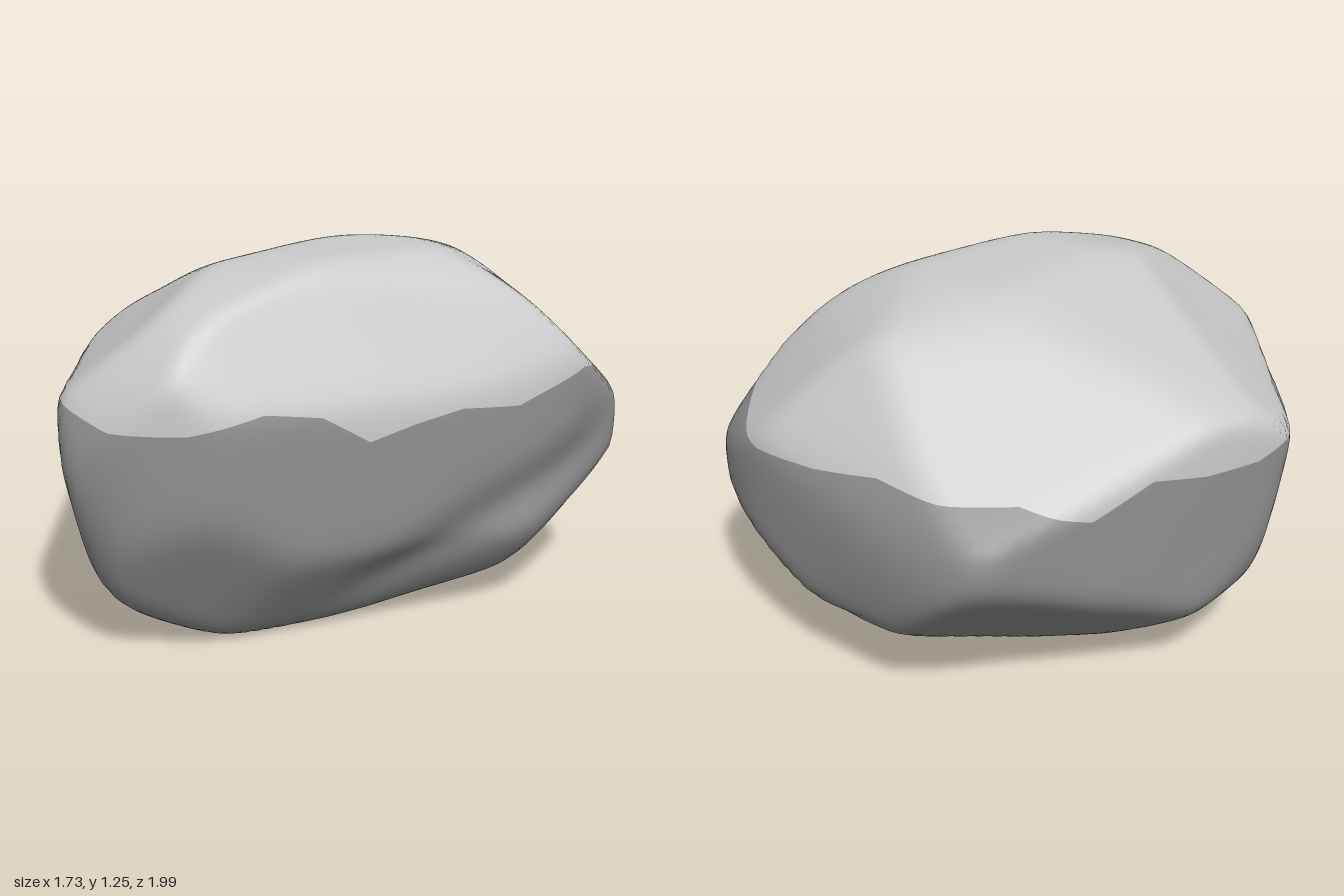
import * as THREE from 'three';

const CY = 0.6;        // height of the point the boulder is measured from
const SHARPNESS = 48;  // how crisply facets meet

// Outlines of the boulder along each axis, as pairs
const FRONT = [[-.88, .885], [-.88, .68], [-.83, .4], [-.77, .27], [-.69, .195], [-.58, .145], [-.13, .015], [.17, -.008], [.33, .003],
  [.52, .065], [.7, .125], [.76, .2], [.81, .3], [.87, .5], [.875, .9], [.81, 1.055], [.69, 1.14], [.55, 1.21], [.37, 1.255],
  [-.02, 1.24], [-.4, 1.105], [-.8, .935]];
const SIDE = [[1.015, .62], [.95, .81], [.88, .93], [.72, 1.09], [.58, 1.155], [.2, 1.25], [-.3, 1.25], [-.68, 1.165], [-.93, .8],
  [-1.015, .56], [-.985, .42], [-.935, .285], [-.8, .225], [-.2, .075], [.15, -.006], [.55, .002], [.72, .075], [.89, .185], [.98, .45]];
const PLAN = [[-.15, -1.005], [.15, -.975], [.5, -.935], [.67, -.88], [.81, -.8], [.87, -.75], [.88, -.6], [.865, -.45], [.7, -.02],
  [.3, .76], [.18, .865], [.05, .95], [-.17, 1.015], [-.4, .765], [-.77, .325], [-.89, .13], [-.885, .04], [-.83, -.08],
  [-.635, -.6], [-.58, -.77], [-.5, -.9], [-.35, -.985], [-.26, -1.005]];

// Oblique facets: normal and distance from the centre
const FACETS = [
  [.795, .458, .397, .64],   // upper right slope
  [.5, .85, .165, .725],     // right shoulder
  [.35, .87, -.35, .79],     // back right shoulder
  [.5, .7, -.5, .865],       // upper back right corner
  [-.5, .78, .38, .66],      // upper front left slope
  [-.44, .78, -.44, .67],    // upper back left slope
  [-.25, .93, -.25, .665],   // back left shoulder
  [.73, -.58, .36, .66],     // lower right
  [.64, -.41, .64, .72],     // lower front right
  [-.76, -.23, .6, .72],     // front left, leaning in
  [-.6, -.64, .48, .725],    // lower front left
  [-.52, -.67, -.52, .73],   // lower back left
  [.45, -.77, -.45, .805],   // lower back right
];

// Height of the jagged colour border, every 15 degrees from the front towards +x
const BORDER = [.78, .78, .83, .8, .7, .74, .77, .75, .84, .8, .77, .79,
  .83, .81, .8, .73, .81, .77, .76, .82, .85, .83, .8, .84];

// Turns each outline edge into a facet parallel to the axis it is seen along
function outlineFacets(points, place, centre) {
  return points.map((a, i) => {
    const b = points[(i + 1) % points.length];
    const u = b[1] - a[1], v = a[0] - b[0], len = Math.hypot(u, v);
    const d = (u * (a[0] - centre[0]) + v * (a[1] - centre[1])) / len;
    const s = Math.sign(d);
    return [...place(s * u / len, s * v / len), s * d];
  });
}

const planes = [
  ...outlineFacets(FRONT, (u, v) => [u, v, 0], [0, CY]),
  ...outlineFacets(SIDE, (u, v) => [0, v, u], [0, CY]),
  ...outlineFacets(PLAN, (u, v) => [u, 0, v], [0, 0]),
  ...FACETS,
];

// Softly blended intersection of all facets, with slight waviness and a groove
function surfacePoint(theta, phi) {
  const p = new THREE.Vector3(Math.cos(phi) * Math.sin(theta), Math.sin(phi), Math.cos(phi) * Math.cos(theta));
  let sum = 0;
  for (const [x, y, z, d] of planes) sum += Math.max(0, (x * p.x + y * p.y + z * p.z) / d) ** SHARPNESS;
  const wave = 1.017 + 0.004 * Math.sin(7 * p.x + 2 * p.y) * Math.sin(6 * p.y - 5 * p.z + 1);
  p.multiplyScalar(wave * sum ** (-1 / SHARPNESS));

  // Slanting groove above the ledge low on the right side
  const offset = (p.y + CY - (0.31 - 0.4 * p.z)) / 0.11;
  const { smoothstep } = THREE.MathUtils;
  const depth = 0.045 * Math.exp(-offset * offset) * smoothstep(0.894 * p.x + 0.447 * p.z, 0.3, 0.5)
    * smoothstep(p.z, -0.8, -0.4) * (1 - smoothstep(p.z, 0, 0.4));
  p.x -= 0.894 * depth;
  p.z -= 0.447 * depth;
  return p;
}

// Elevation angle at which the colour border lies
function borderAngle(theta) {
  const n = BORDER.length, t = theta / (2 * Math.PI) * n, i = Math.floor(t);
  const y = THREE.MathUtils.lerp(BORDER[i % n], BORDER[(i + 1) % n], t - i) - CY;
  let phi = 0.2;
  for (let k = 0; k < 6; k++) {
    const p = surfacePoint(theta, phi);
    phi = Math.atan2(y, Math.hypot(p.x, p.z));
  }
  return phi;
}

export function createModel() {
  const COLS = 168, LOW = 48, HIGH = 36, ROWS = LOW + HIGH;
  const positions = [], lower = [], upper = [];
  const addPoint = (theta, phi) => {
    const p = surfacePoint(theta, phi);
    positions.push(p.x, p.y + CY, p.z);
  };

  // Rings from the bottom pole, through the border, to the top pole
  const angles = Array.from({ length: COLS }, (_, i) => i / COLS * 2 * Math.PI);
  const borders = angles.map(borderAngle);
  for (let j = 1; j < ROWS; j++) {
    angles.forEach((theta, i) => addPoint(theta, j <= LOW
      ? THREE.MathUtils.lerp(-Math.PI / 2, borders[i], j / LOW)
      : THREE.MathUtils.lerp(borders[i], Math.PI / 2, (j - LOW) / HIGH)));
  }
  const bottom = positions.length / 3, top = bottom + 1;
  addPoint(0, -Math.PI / 2);
  addPoint(0, Math.PI / 2);

  for (let i = 0; i < COLS; i++) {
    const k = (i + 1) % COLS, last = (ROWS - 2) * COLS;
    lower.push(bottom, k, i);
    for (let j = 0; j < ROWS - 2; j++) {
      const a = j * COLS + i, b = j * COLS + k, c = b + COLS, d = a + COLS;
      (j + 1 < LOW ? lower : upper).push(a, b, c, a, c, d);
    }
    upper.push(last + i, last + k, top);
  }

  // Both parts share the same points and normals so the shading stays continuous
  const whole = new THREE.BufferGeometry();
  whole.setAttribute('position', new THREE.Float32BufferAttribute(positions, 3));
  whole.setIndex([...lower, ...upper]);
  whole.computeVertexNormals();

  const group = new THREE.Group();
  group.name = 'boulder';
  for (const [name, index, color] of [['upperRock', upper, 0xcccccc], ['lowerRock', lower, 0x8f8f8f]]) {
    const part = new THREE.BufferGeometry();
    part.setAttribute('position', whole.getAttribute('position'));
    part.setAttribute('normal', whole.getAttribute('normal'));
    part.setIndex(index);
    const mesh = new THREE.Mesh(part, new THREE.MeshStandardMaterial({ color }));
    mesh.name = name;
    group.add(mesh);
  }
  return group;
}
